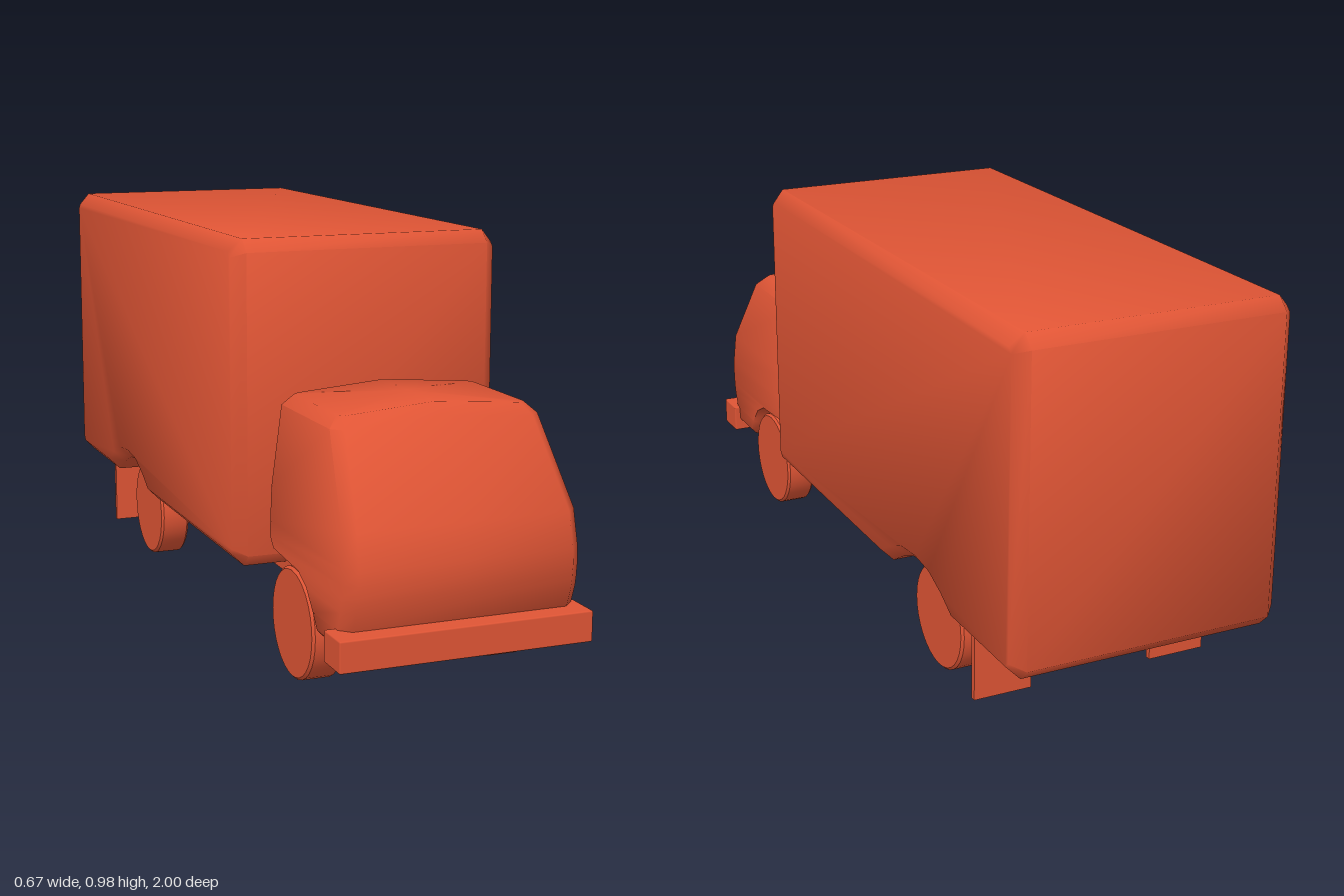
import * as THREE from 'three';
import { toCreasedNormals } from 'three/addons/utils/BufferGeometryUtils.js';
import { RoundedBoxGeometry } from 'three/addons/geometries/RoundedBoxGeometry.js';

const paint = new THREE.MeshStandardMaterial({ color: 0xe05535 });

export function createModel() {
  const truck = new THREE.Group();
  truck.name = 'boxTruck';

  const add = (name, geometry, x = 0, y = 0, z = 0) => {
    const mesh = new THREE.Mesh(geometry, paint);
    mesh.name = name;
    mesh.position.set(x, y, z);
    truck.add(mesh);
    return mesh;
  };

  // Cargo box: side profile (z, y) with rear wheel arches, bevelled across the width
  add('cargoBox', cargoGeometry());

  // Cab: stacked chamfered sections with a raked windscreen and crowned roof
  add('cab', cabGeometry());

  // Chassis and front bumper
  add('chassis', new THREE.BoxGeometry(0.4, 0.085, 1.59), 0, 0.2225, 0.025);
  add('frontBumper', new RoundedBoxGeometry(0.6, 0.072, 0.09, 1, 0.004), -0.005, 0.166, 0.955);

  // Wheels and rear mud flaps, mirrored
  const wheel = wheelGeometry(0.13, 0.078);
  for (const [side, s] of [['left', 1], ['right', -1]]) {
    add(`${side}FrontWheel`, wheel, s * 0.236, 0.132, 0.643);
    add(`${side}RearWheel`, wheel, s * 0.236, 0.132, -0.492);
    add(`${side}MudFlap`, new THREE.BoxGeometry(0.145, 0.17, 0.014), s * 0.2305, 0.125, -0.737);
  }
  return truck;
}

function cargoGeometry() {
  const bevel = 0.03;
  const halfWidth = 0.335;
  const profile = [
    [0.435, 0.235], [0.435, 0.95], [0.405, 0.98], [-0.97, 0.98], [-1, 0.95], [-1, 0.235], [-0.97, 0.205],
    [-0.68, 0.205], [-0.62, 0.24], [-0.56, 0.265], [-0.49, 0.272],
    [-0.42, 0.265], [-0.36, 0.24], [-0.3, 0.205], [0.405, 0.205],
  ];
  const shape = new THREE.Shape(profile.map(([z, y]) => new THREE.Vector2(z, y)));
  const depth = 2 * (halfWidth - bevel);
  const geometry = new THREE.ExtrudeGeometry(shape, {
    depth, bevelEnabled: true, bevelSize: bevel, bevelOffset: -bevel, bevelThickness: bevel, bevelSegments: 1,
  });
  geometry.translate(0, 0, -depth / 2);
  geometry.rotateY(-Math.PI / 2);
  return toCreasedNormals(geometry, 0.9);
}

function cabGeometry() {
  // height, back z, front z, half width, corner chamfer, crown
  const sections = [
    [0.145, 0.81, 0.91, 0.26, 0.015, 0],
    [0.165, 0.785, 0.93, 0.278, 0.02, 0],
    [0.2, 0.76, 0.95, 0.28, 0.025, 0],
    [0.245, 0.72, 0.967, 0.28, 0.025, 0],
    [0.27, 0.67, 0.972, 0.28, 0.025, 0],
    [0.28, 0.51, 0.974, 0.279, 0.025, 0],
    [0.305, 0.488, 0.977, 0.279, 0.025, 0],
    [0.34, 0.488, 0.976, 0.278, 0.025, 0],
    [0.42, 0.488, 0.96, 0.275, 0.025, 0],
    [0.61, 0.488, 0.83, 0.25, 0.025, 0.017],
    [0.635, 0.512, 0.798, 0.225, 0.015, 0.017],
  ];
  const positions = [];
  const index = [];
  for (const [y, zb, zf, w, c, crown] of sections) {
    positions.push(
      0, y + crown, zf, w - c, y, zf, w, y, zf - c, w, y, zb + c, w - c, y, zb,
      0, y + crown, zb, c - w, y, zb, -w, y, zb + c, -w, y, zf - c, c - w, y, zf,
    );
  }
  const n = 10;
  const last = (sections.length - 1) * n;
  const bottom = positions.length / 3;
  positions.push(0, 0.145, 0.86, 0, 0.652, 0.655);
  for (let j = 0; j < n; j++) {
    const k = (j + 1) % n;
    for (let i = 0; i < last; i += n) {
      index.push(i + j, i + k, i + n + k, i + j, i + n + k, i + n + j);
    }
    index.push(bottom, k, j, bottom + 1, last + j, last + k);
  }
  const geometry = new THREE.BufferGeometry();
  geometry.setAttribute('position', new THREE.Float32BufferAttribute(positions, 3));
  geometry.setIndex(index);
  return toCreasedNormals(geometry, 0.9);
}

function wheelGeometry(radius, width) {
  const h = width / 2;
  const edge = 0.006;
  const profile = [[0, -h], [radius - edge, -h], [radius, edge - h], [radius, h - edge], [radius - edge, h], [0, h]];
  const geometry = new THREE.LatheGeometry(profile.map(([r, y]) => new THREE.Vector2(r, y)), 32);
  geometry.rotateZ(Math.PI / 2);
  return toCreasedNormals(geometry, 0.6);
}
